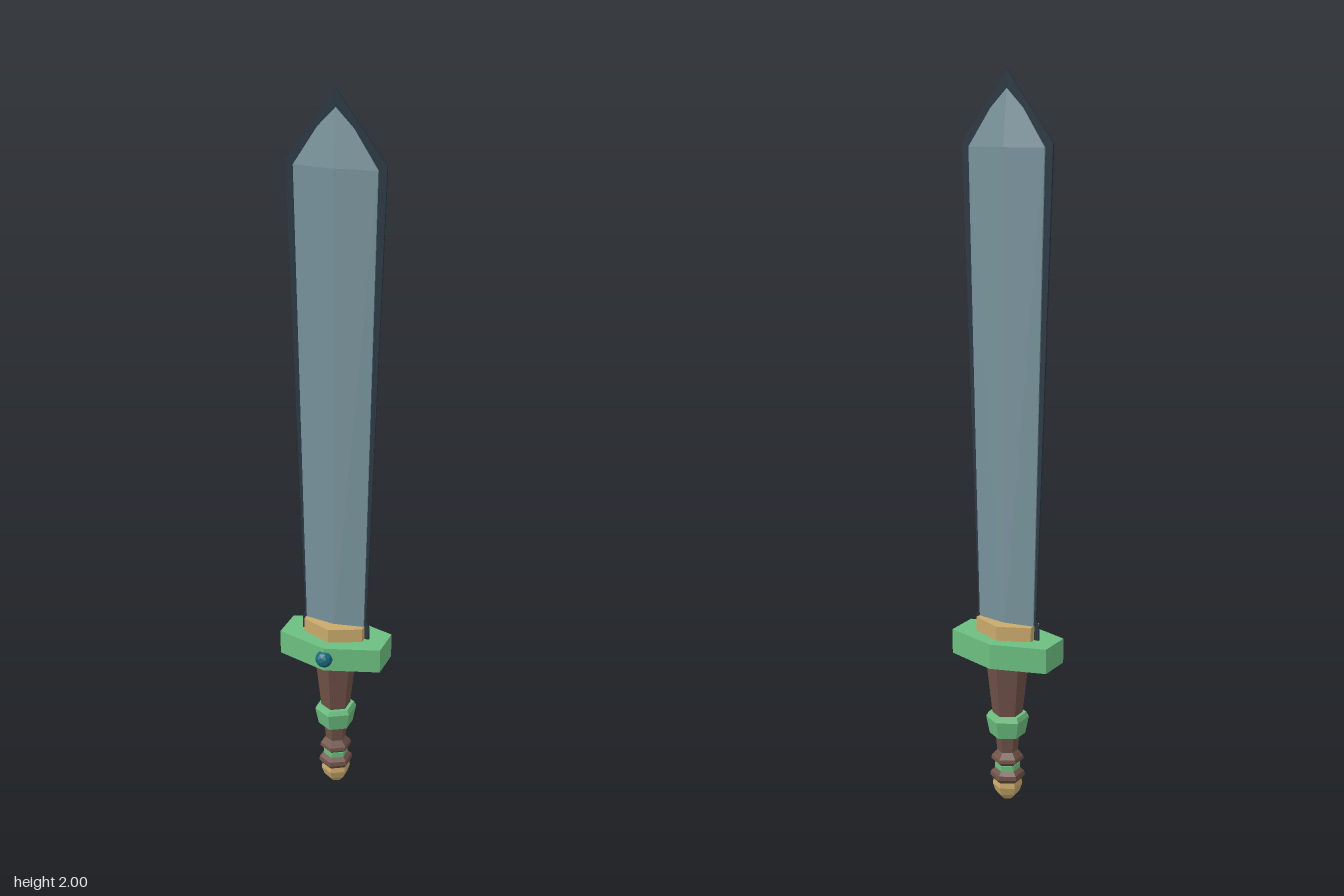
import * as THREE from 'three';
import { ConvexGeometry } from 'three/addons/geometries/ConvexGeometry.js';

const mat = (color) => new THREE.MeshStandardMaterial({ color, flatShading: true });
const steel = mat(0x78929b), dark = mat(0x2b3742), green = mat(0x6cbf80);
const gold = mat(0xc9a96c), brown = mat(0x6f5248), teal = mat(0x17697a);

export function createModel() {
  const model = new THREE.Group();
  model.name = 'sword';
  const Z = -0.01; // sword axis; the gem in front shifts the centre

  function add(name, geometry, material, y = 0, z = Z) {
    const mesh = new THREE.Mesh(geometry, material);
    mesh.name = name;
    mesh.position.set(0, y, z);
    model.add(mesh);
  }

  // Stretched hexagonal slab, pointed to front and back
  function hexSlab(halfX, halfZ, sideZ, height) {
    const shape = new THREE.Shape([
      [halfX, -sideZ], [halfX, sideZ], [0, halfZ], [-halfX, sideZ], [-halfX, -sideZ], [0, -halfZ],
    ].map(([x, z]) => new THREE.Vector2(x, z)));
    return new THREE.ExtrudeGeometry(shape, { depth: height, bevelEnabled: false }).rotateX(-Math.PI / 2);
  }

  // Six-sided turned part from [radius, y] pairs, bottom to top
  const turned = (points) =>
    new THREE.LatheGeometry(points.map(([r, y]) => new THREE.Vector2(r, y)), 6);

  // Blade body: ridged cross-sections widening up to the shoulders, then a point
  const bladePoints = [new THREE.Vector3(0, 1.98, 0)];
  for (const [y, halfWidth] of [[0.5, 0.085], [1.81, 0.113]]) {
    for (const s of [-1, 1]) {
      bladePoints.push(new THREE.Vector3(0, y, 0.021 * s));
      for (const t of [-1, 1]) bladePoints.push(new THREE.Vector3(halfWidth * t, y, 0.007 * s));
    }
  }
  add('blade', new ConvexGeometry(bladePoints), steel);

  // Thin cutting edge standing out around the blade, flared at its foot
  const half = [[0.1, 0.495], [0.1, 0.53], [0.092, 0.552], [0.135, 1.82]];
  const outline = [
    ...half,
    [0, 2],
    ...half.map(([x, y]) => [-x, y]).reverse(),
  ].map(([x, y]) => new THREE.Vector2(x, y));
  const edge = new THREE.ExtrudeGeometry(new THREE.Shape(outline), { depth: 0.006, bevelEnabled: false });
  add('cuttingEdge', edge.translate(0, 0, -0.003), dark);

  // Guard, collar and gem
  add('collar', hexSlab(0.087, 0.06, 0.022, 0.045), gold, 0.49);
  add('guard', hexSlab(0.15, 0.095, 0.048, 0.07), green, 0.425);
  add('gem', new THREE.IcosahedronGeometry(0.025, 1), teal, 0.46, 0.08);

  // Grip, rings and pommel
  add('grip', turned([[0, 0.14], [0.028, 0.14], [0.034, 0.2], [0.042, 0.26], [0.06, 0.425], [0, 0.425]]), brown);
  add('gripRing', turned([[0.03, 0.2], [0.05, 0.2], [0.06, 0.25], [0.053, 0.263], [0.035, 0.263]]), green);
  add('upperBead', turned([[0, 0.108], [0.03, 0.108], [0.046, 0.122], [0.044, 0.132], [0.028, 0.15], [0, 0.15]]), brown);
  add('neckRing', turned([[0, 0.092], [0.035, 0.092], [0.035, 0.11], [0, 0.11]]), green);
  add('lowerBead', turned([[0, 0.06], [0.04, 0.06], [0.049, 0.072], [0.047, 0.084], [0.034, 0.095], [0, 0.095]]), brown);
  add('pommel', turned([[0, 0], [0.018, 0.004], [0.034, 0.022], [0.042, 0.045], [0.039, 0.063], [0, 0.063]]), gold);

  return model;
}
